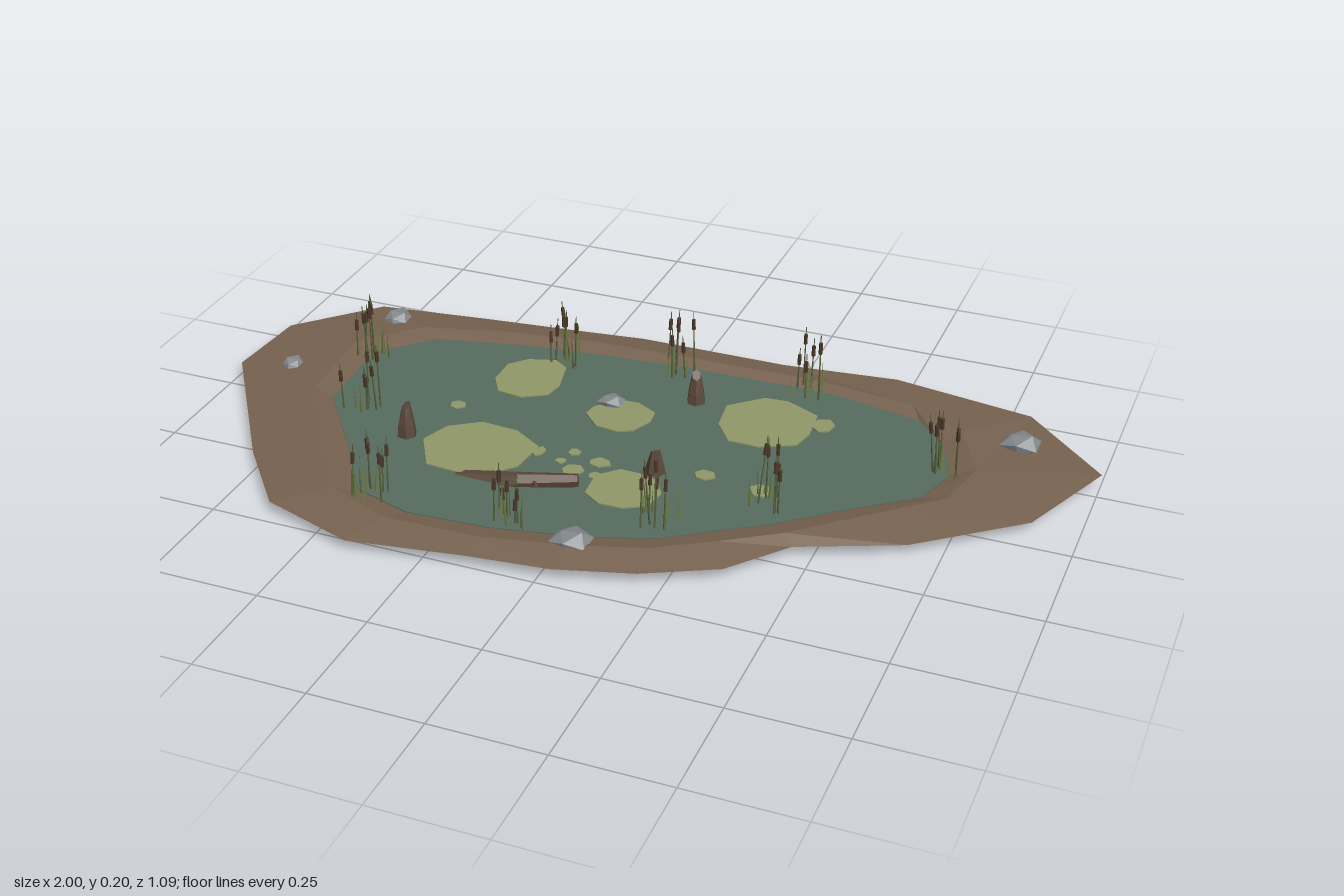
import * as THREE from 'three';
import { mergeGeometries } from 'three/addons/utils/BufferGeometryUtils.js';

const mat = (name, color, extra = {}) => {
  const m = new THREE.MeshStandardMaterial({ color, flatShading: true, ...extra });
  m.name = name;
  return m;
};

let seed = 7;
const rand = (a = 0, b = 1) => {
  seed = (seed * 16807) % 2147483647;
  return a + (b - a) * (seed / 2147483647);
};

// Outer bank edge x, z and the matching water edge x, z, clockwise from the back left
const OUTLINE = [
  [-.82, -.44, -.62, -.325], [-.55, -.475, -.41, -.375], [-.32, -.50, -.21, -.40], [-.155, -.52, .005, -.415],
  [.20, -.52, .35, -.42], [.47, -.55, .57, -.375], [.80, -.495, .64, -.30], [1, -.30, .695, -.175],
  [.90, -.055, .66, -.06], [.68, .125, .52, .05], [.46, .22, .395, .16], [.355, .35, .29, .23],
  [.20, .43, .19, .30], [.03, .48, .05, .35], [-.155, .50, -.15, .39], [-.41, .54, -.34, .40],
  [-.63, .465, -.475, .355], [-.765, .30, -.57, .215], [-1, -.055, -.715, .02], [-.985, -.265, -.73, -.21],
];

// Closed ring of ground: each section is lofted to the next one
function bankGeometry() {
  const sections = OUTLINE.map(([ox, oz, ix, iz]) => {
    const t = .055 / Math.hypot(ox - ix, oz - iz);
    const cx = ix + (ox - ix) * t, cz = iz + (oz - iz) * t;
    return [[ox, .031, oz], [cx, .046, cz], [ix, .034, iz], [ix, .022, iz], [cx, .022, cz]];
  });
  const pos = [];
  sections.forEach((s, i) => {
    const n = sections[(i + 1) % sections.length];
    s.forEach((a, k) => {
      const j = (k + 1) % s.length;
      pos.push(...a, ...s[j], ...n[j], ...a, ...n[j], ...n[k]);
    });
  });
  const g = new THREE.BufferGeometry();
  g.setAttribute('position', new THREE.Float32BufferAttribute(pos, 3));
  g.computeVertexNormals();
  return g;
}

// Flat plate from an x, z outline, with its top at y = 0
function plate(points, depth) {
  const shape = new THREE.Shape(points.map(([x, z]) => new THREE.Vector2(x, z)));
  return new THREE.ExtrudeGeometry(shape, { depth, bevelEnabled: false }).rotateX(Math.PI / 2);
}

// Irregular angular pad
function padGeometry(rx, rz) {
  const n = rx > .05 ? 9 : 6, turn = rand(0, 6);
  const pts = Array.from({ length: n }, (_, i) => {
    const a = turn + (i + rand(-.2, .2)) / n * Math.PI * 2, k = rand(.9, 1.1);
    return [Math.cos(a) * rx * k, Math.sin(a) * rz * k];
  });
  return plate(pts, .003);
}

// Flattened faceted rock; shared corners move together
function stoneGeometry(r, h) {
  const g = new THREE.IcosahedronGeometry(1, 0), p = g.attributes.position, phase = rand(0, 6);
  for (let i = 0; i < p.count; i++) {
    const x = p.getX(i), y = p.getY(i), z = p.getZ(i);
    const k = 1 + .16 * Math.sin(x * 3.1 + y * 4.3 + z * 5.7 + phase);
    p.setXYZ(i, x * r * k, y * h * k, z * r * k);
  }
  g.computeVertexNormals();
  return g;
}

// Broken stump with a splintered tip
function stumpGeometry(r, h) {
  const g = new THREE.CylinderGeometry(r * .42, r, h, 6, 2), p = g.attributes.position;
  for (let i = 0; i < p.count; i++) {
    const x = p.getX(i), y = p.getY(i), z = p.getZ(i);
    if (y > h * .4) p.setY(i, y + (x - z * .6) * h * 1.3 / (r * 6));
    else if (Math.abs(y) < h * .1) p.setXYZ(i, x * 1.12, y, z * 1.12);
  }
  g.translate(0, h / 2, 0);
  g.computeVertexNormals();
  return g;
}

export function createModel() {
  const M = {
    bank: mat('mud', 0x77624f), water: mat('pondWater', 0x566d5e), pad: mat('algaeGreen', 0x8f9868),
    stone: mat('stoneGrey', 0x858a8d), wood: mat('oldWood', 0x5c483b),
    stem: mat('reedGreen', 0x555f3b), leaf: mat('leafGreen', 0x6a7a45, { side: THREE.DoubleSide }),
    head: mat('cattailBrown', 0x4a3628),
  };
  const model = new THREE.Group();
  model.name = 'pond';
  const add = (name, geo, material, x = 0, y = 0, z = 0, parent = model) => {
    const m = new THREE.Mesh(geo, material);
    m.name = name;
    m.position.set(x, y, z);
    parent.add(m);
    return m;
  };

  // Ground and water
  add('bank', bankGeometry(), M.bank);
  add('water', plate(OUTLINE.map(([, , x, z]) => [x, z]), .01), M.water, 0, .036, 0);

  // Floating pads: x, z, radius in x, radius in z
  [[-.325, -.23, .08, .098], [-.065, -.14, .075, .072], [.255, -.235, .115, .112], [.375, -.27, .026, .032],
    [-.30, .11, .125, .115], [.065, .15, .085, .078], [-.43, -.05, .02, .018], [.20, .03, .024, .02],
    [.335, .045, .028, .024], [-.10, .045, .015, .015], [-.03, .065, .024, .02], [-.075, .115, .026, .024],
    [-.02, .12, .017, .014], [-.175, .07, .015, .02], [-.115, .09, .013, .012],
  ].forEach(([x, z, rx, rz]) => add('floatingPad', padGeometry(rx, rz), M.pad, x, .039, z));

  // Stones: x, z, radius, half height
  [[.805, -.35, .045, .024], [-.75, -.38, .037, .02], [-.875, -.08, .028, .014],
    [-.11, -.19, .031, .016], [.03, .38, .045, .024],
  ].forEach(([x, z, r, h]) => add('stone', stoneGeometry(r, h), M.stone, x, .042, z));

  // Stumps: x, z, height
  [[-.48, .11, .09], [.07, -.27, .085], [.095, .055, .07]].forEach(([x, z, h]) => {
    add('stump', stumpGeometry(.025, h), M.wood, x, .02, z).rotation.y = rand(0, 6);
  });

  // Sunken log with a short broken branch
  const log = new THREE.Group();
  log.name = 'log';
  model.add(log);
  const rod = (name, a, b, ra, rb) => {
    const from = new THREE.Vector3(...a), dir = new THREE.Vector3(...b).sub(from);
    const g = new THREE.CylinderGeometry(rb, ra, dir.length(), 6).translate(0, dir.length() / 2, 0);
    add(name, g, M.wood, ...a, log).quaternion.setFromUnitVectors(
      new THREE.Vector3(0, 1, 0), dir.normalize());
  };
  rod('logLowerHalf', [-.305, .021, .215], [-.16, .04, .205], .019, .021);
  rod('logUpperHalf', [-.165, .04, .206], [-.04, .049, .168], .021, .015);
  rod('logBranch', [-.13, .045, .20], [-.112, .05, .228], .007, .004);

  // Reed clumps: x, z, tallest tip
  [[-.29, -.345, .19], [0, -.385, .20], [.30, -.40, .205], [.68, -.18, .19], [-.72, -.185, .20],
    [-.63, .03, .20], [-.43, .37, .18], [-.12, .34, .155], [.17, .24, .21], [.37, .09, .20],
  ].forEach(([cx, cz, top]) => {
    const parts = { stem: [], leaf: [], head: [] };
    const clump = new THREE.Group();
    clump.name = 'reedClump';
    clump.position.set(cx, .03, cz);
    model.add(clump);
    // Each upright piece is placed by a random root and a slight lean
    const place = (geos) => {
      const m = new THREE.Matrix4().makeRotationFromEuler(
        new THREE.Euler(rand(-.09, .09), rand(0, 6), rand(-.09, .09)));
      m.setPosition(rand(-.04, .04), 0, rand(-.035, .035));
      geos.forEach(([kind, g]) => parts[kind].push(g.applyMatrix4(m)));
    };
    for (let i = 0; i < 6; i++) {
      const h = (top - .03) * (i === 0 ? 1 : rand(.65, .98)), y = h - .045;
      place([
        ['stem', new THREE.CylinderGeometry(.001, .0024, h, 5).translate(0, h / 2, 0)],
        ['head', new THREE.CylinderGeometry(.0042, .0046, .026, 6).translate(0, y + .013, 0)],
      ]);
    }
    for (let i = 0; i < 5; i++) {
      const h = rand(.05, .11);
      place([['leaf', new THREE.ConeGeometry(.005, h, 4).scale(1, 1, .35).translate(0, h / 2, 0)]]);
    }
    add('reedStems', mergeGeometries(parts.stem), M.stem, 0, 0, 0, clump);
    add('reedLeaves', mergeGeometries(parts.leaf), M.leaf, 0, 0, 0, clump);
    add('cattailHeads', mergeGeometries(parts.head), M.head, 0, 0, 0, clump);
  });

  return model;
}
